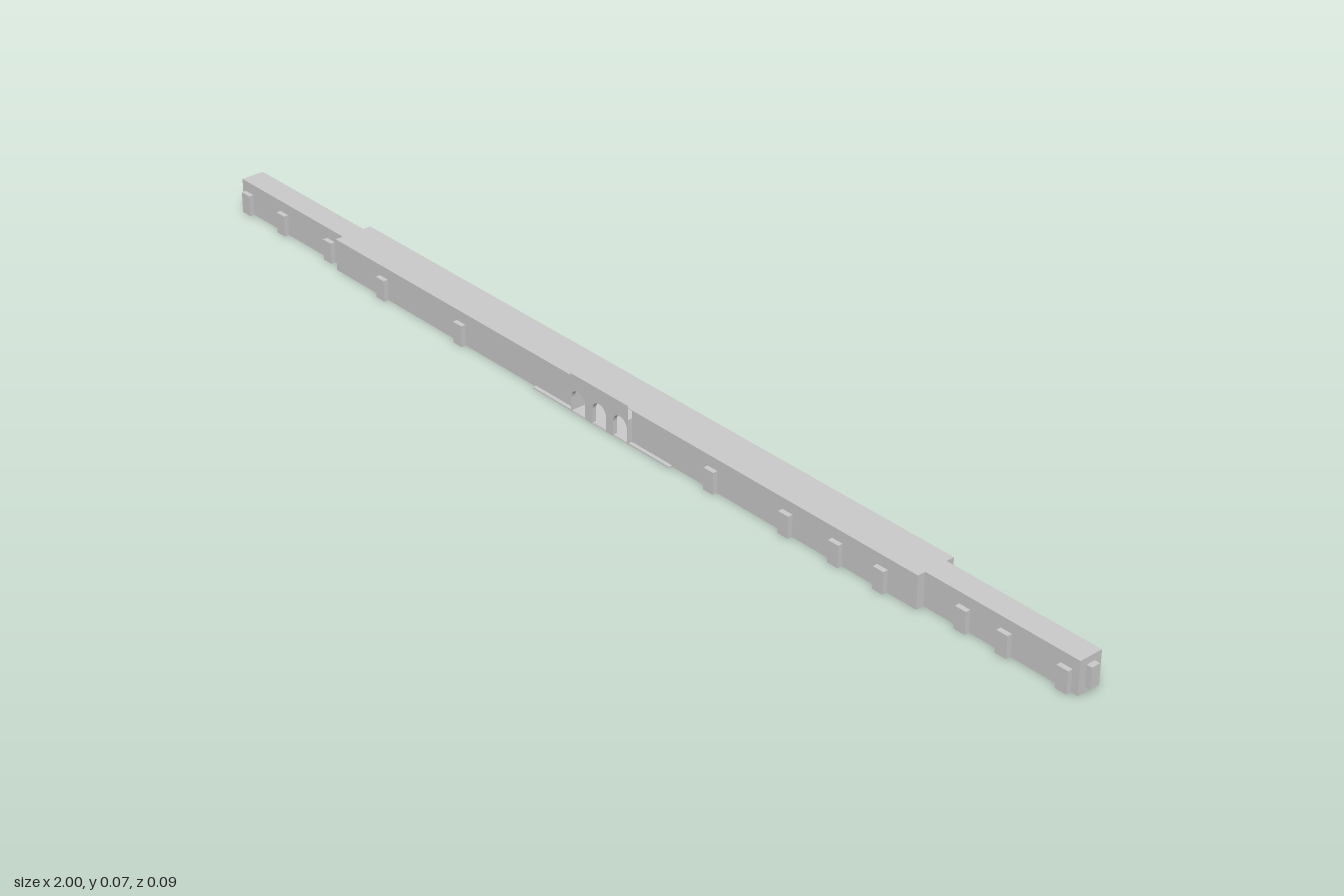
import * as THREE from 'three';

export function createModel() {
  const group = new THREE.Group();
  const mat = new THREE.MeshStandardMaterial({ color: 0xcccccc, flatShading: true, side: THREE.DoubleSide });

  const add = (name, geometry) => {
    const mesh = new THREE.Mesh(geometry, mat);
    mesh.name = name;
    group.add(mesh);
    return mesh;
  };
  // Box given by its limits on each axis
  const block = (name, x0, x1, y0, y1, z0, z1) =>
    add(name, new THREE.BoxGeometry(x1 - x0, y1 - y0, z1 - z0))
      .position.set((x0 + x1) / 2, (y0 + y1) / 2, (z0 + z1) / 2);

  const H = 0.059;                 // roof height
  const mainZ = 0.037, wingZ = 0.022;
  const x0 = -0.705, x1 = 0.69;    // main block
  const g0 = -0.073, g1 = 0.065;   // central passage
  const frontZ = 0.045;

  // Long main block, split by the passage
  block('mainBlockRight', x0, g0, 0, H, -mainZ, mainZ);
  block('mainBlockLeft', g1, x1, 0, H, -mainZ, mainZ);
  block('passageFloor', g0, g1, 0, 0.001, -mainZ, frontZ);
  block('passageRoof', g0, g1, H - 0.001, H, -mainZ, mainZ);

  // Narrower wings at both ends
  block('wingRight', -1, x0, 0, H, -wingZ, wingZ);
  block('wingLeft', x1, 0.99, 0, H, -wingZ, wingZ);
  block('endPanel', 0.99, 1, 0.01, 0.047, -0.0085, 0.0085);

  // Low platform before the entrance
  block('entrancePlatform', -0.17, 0.16, 0, 0.002, mainZ, 0.044);

  // Entrance wall outline with three round-topped openings
  const arcadeShape = (top) => {
    const s = new THREE.Shape();
    const r = 0.017, spring = 0.026;
    s.moveTo(g0, 0);
    for (const c of [-0.055, -0.004, 0.046]) {
      s.lineTo(c - r, 0);
      s.lineTo(c - r, spring);
      s.absarc(c, spring, r, Math.PI, 0, true);
      s.lineTo(c + r, 0);
    }
    s.lineTo(g1, 0);
    s.lineTo(g1, top);
    s.lineTo(g0, top);
    s.closePath();
    return s;
  };
  add('entranceArches', new THREE.ExtrudeGeometry(arcadeShape(0.0445),
    { depth: frontZ - mainZ, bevelEnabled: false, curveSegments: 10 })).position.z = mainZ;
  // Thin raised front rising above the roof
  add('entranceFront', new THREE.ShapeGeometry(arcadeShape(0.07), 10)).position.z = frontZ + 0.0005;

  // Door porches along both long sides
  const porches = (name, side, xs) => xs.forEach((x) => {
    const wall = x > x0 && x < x1 ? mainZ : wingZ;
    const a = side * (wall - 0.001), b = side * (wall + 0.009);
    block(name, x - 0.011, x + 0.011, 0, 0.039, Math.min(a, b), Math.max(a, b));
  });
  porches('frontPorch', 1,
    [-0.98, -0.876, -0.74, -0.571, -0.362, 0.252, 0.418, 0.525, 0.619, 0.77, 0.851, 0.966]);
  porches('backPorch', -1,
    [-0.874, -0.775, -0.674, -0.4, -0.305, 0.19, 0.315, 0.449, 0.543, 0.674, 0.834]);

  return group;
}
